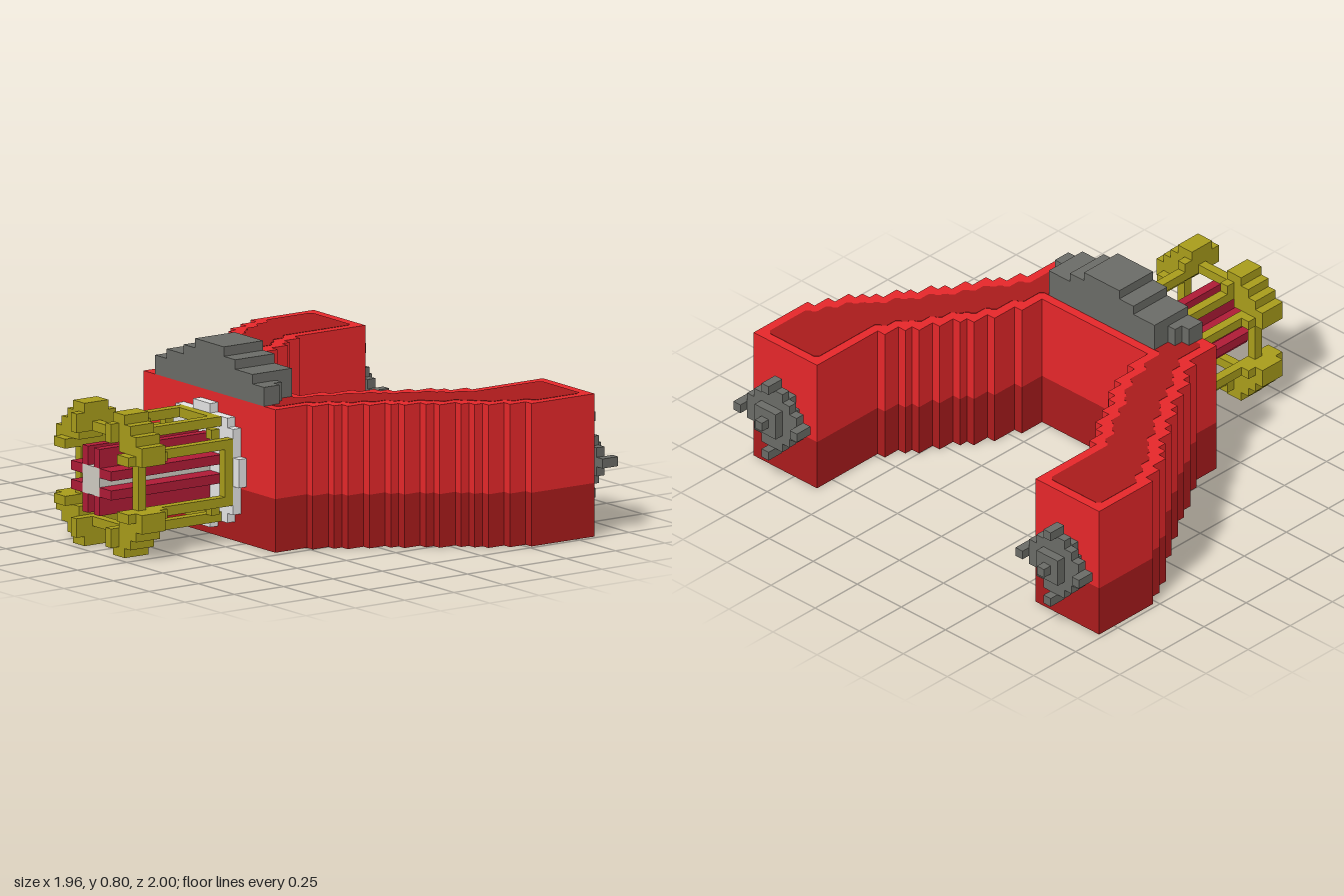
import * as THREE from 'three';
import { mergeGeometries } from 'three/addons/utils/BufferGeometryUtils.js';

const paint = (name, color) => {
  const m = new THREE.MeshStandardMaterial({ color });
  m.name = name;
  return m;
};

// Box geometry from its minimum and maximum corners
const box = (x0, x1, y0, y1, z0, z1) =>
  new THREE.BoxGeometry(x1 - x0, y1 - y0, z1 - z0)
    .translate((x0 + x1) / 2, (y0 + y1) / 2, (z0 + z1) / 2);

const MID = 0.3; // height of the barrel and wheel axes

// Box centred on x = cx and the axis height, by half extents
const block = (hx, hy, z0, z1, cx = 0) =>
  box(cx - hx, cx + hx, MID - hy, MID + hy, z0, z1);

// Stepped sides of one arm: x, and the z where that step ends
const OUTER = [[0.98, -0.52], [0.94, -0.44], [0.9, -0.36], [0.86, -0.32], [0.82, -0.28],
  [0.78, -0.2], [0.74, -0.16], [0.7, -0.08], [0.66, -0.04], [0.62, 0.04], [0.58, 0.12],
  [0.54, 0.16], [0.5, 0.24], [0.46, 0.4]];
const INNER = [[0.62, -0.48], [0.58, -0.4], [0.54, -0.36], [0.5, -0.28], [0.46, -0.2],
  [0.42, -0.16], [0.38, -0.08], [0.34, 0.04], [0.3, 0.16]];

function stairs(steps, zStart, dx, dz) {
  const pts = [];
  let z = zStart;
  for (const [x, end] of steps) {
    pts.push([x + dx, z], [x + dx, end + dz]);
    z = end + dz;
  }
  return pts;
}

// Cut every corner of a closed outline at distance d
function chamfer(pts, d) {
  const toward = ([x, z], [u, w]) => {
    const t = d / Math.hypot(u - x, w - z);
    return [x + (u - x) * t, z + (w - z) * t];
  };
  const n = pts.length;
  return pts.flatMap((p, i) => [toward(p, pts[(i + n - 1) % n]), toward(p, pts[(i + 1) % n])]);
}

// V-shaped outline with both arms, inset from the edge
function outline(inset) {
  const back = -0.84 + inset;
  const half = [
    ...stairs(INNER, back, inset, inset).reverse(),
    ...stairs(OUTER, back, -inset, -inset),
  ];
  return [...half, ...half.map(([x, z]) => [-x, z]).reverse()];
}

function slab(pts, y0, y1) {
  const shape = new THREE.Shape(pts.map(([x, z]) => new THREE.Vector2(x, -z)));
  return new THREE.ExtrudeGeometry(shape, { depth: y1 - y0, bevelEnabled: false })
    .rotateX(-Math.PI / 2).translate(0, y0, 0);
}

export function createModel() {
  const red = paint('red', 0xea282b);
  const darkRed = paint('dark red', 0xaa1b1c);
  const grey = paint('dark grey', 0x6b6c67);
  const gold = paint('old gold', 0xa99d1b);
  const white = paint('light grey', 0xe6e6e6);
  const stone = paint('warm grey', 0xd0ccc3);
  const maroon = paint('maroon', 0xaf1b36);

  const model = new THREE.Group();
  const add = (name, material, parts) => {
    const mesh = new THREE.Mesh(mergeGeometries(parts), material);
    mesh.name = name;
    model.add(mesh);
  };

  // Body
  add('lowerBody', darkRed, [slab(outline(0), 0, 0.225)]);
  add('upperBody', red, [slab(outline(0), 0.225, 0.6)]);
  add('topPanel', darkRed, [slab(chamfer(outline(0.04), 0.015), 0.598, 0.6015)]);

  // Stepped crest on top of the front wall
  add('crest', grey, [
    box(-0.3, 0.3, 0.6, 0.72, 0.2, 0.4),
    box(-0.34, 0.34, 0.6, 0.68, 0.28, 0.4),
    box(-0.38, 0.38, 0.6, 0.68, 0.32, 0.4),
    box(-0.18, 0.18, 0.72, 0.76, 0.2, 0.4),
    box(-0.1, 0.1, 0.76, 0.8, 0.2, 0.4),
  ]);

  // Round mounting plate
  add('mountPlate', white,
    [[0.22, 0.18], [0.18, 0.22], [0.26, 0.06], [0.06, 0.26]]
      .map(([w, h]) => block(w, h, 0.4, 0.44)));

  // Barrel core with eight fins
  add('barrelCore', stone, [block(0.06, 0.06, 0.44, 1)]);
  const fins = [];
  for (const a of [-0.04, 0.04]) {
    for (const b of [-0.1, 0.1]) {
      fins.push(box(a - 0.02, a + 0.02, MID + b - 0.04, MID + b + 0.04, 0.44, 1));
      fins.push(box(b - 0.04, b + 0.04, MID + a - 0.02, MID + a + 0.02, 0.44, 1));
    }
  }
  add('barrelFins', maroon, fins);

  // Cage: two open rings, eight rails and four stepped corner lugs
  const rings = [], rails = [], lugs = [];
  const LUG = [ // u0, u1, v0, v1, z0, z1 in one quadrant
    [0.1, 0.18, 0.26, 0.3, 0.84, 0.96],
    [0.1, 0.22, 0.22, 0.26, 0.84, 0.96],
    [0.1, 0.26, 0.18, 0.22, 0.84, 0.96],
    [0.14, 0.3, 0.14, 0.18, 0.84, 0.96],
    [0.18, 0.3, 0.1, 0.14, 0.84, 0.96],
    [0.1, 0.14, 0.18, 0.26, 0.8, 1],
    [0.18, 0.26, 0.1, 0.14, 0.8, 1],
  ];
  for (const sx of [-1, 1]) {
    for (const sy of [-1, 1]) {
      const quad = (u0, u1, v0, v1, z0, z1) => box(
        Math.min(sx * u0, sx * u1), Math.max(sx * u0, sx * u1),
        MID + Math.min(sy * v0, sy * v1), MID + Math.max(sy * v0, sy * v1), z0, z1);
      rails.push(quad(0.1, 0.14, 0.18, 0.22, 0.44, 1), quad(0.18, 0.22, 0.1, 0.14, 0.44, 1));
      rings.push(quad(0.14, 0.18, 0.14, 0.18, 0.48, 0.52));
      for (const cell of LUG) lugs.push(quad(...cell));
    }
    for (const z of [0.44, 0.88]) {
      const c = sx * 0.2;
      rings.push(box(c - 0.02, c + 0.02, MID - 0.1, MID + 0.1, z, z + 0.04));
      rings.push(box(-0.1, 0.1, MID + c - 0.02, MID + c + 0.02, z, z + 0.04));
    }
  }
  add('cageRings', gold, rings);
  add('cageRails', gold, rails);
  add('cageLugs', gold, lugs);

  // Round wheel with four prongs on the back of each arm
  for (const [side, cx] of [['left', 0.8], ['right', -0.8]]) {
    const parts = [
      block(0.06, 0.1, -0.88, -0.84, cx),
      block(0.1, 0.06, -0.88, -0.86, cx),
      block(0.14, 0.06, -0.92, -0.88, cx),
      block(0.1, 0.1, -0.92, -0.88, cx),
      block(0.06, 0.14, -0.92, -0.88, cx),
      block(0.06, 0.06, -0.96, -0.92, cx),
      block(0.02, 0.02, -1, -0.96, cx),
    ];
    for (const tip of [-0.16, 0.16]) {
      parts.push(block(0.02, 0.02, -0.96, -0.88, cx + tip));
      parts.push(block(0.02, 0.02, -0.96, -0.88, cx).translate(0, tip, 0));
    }
    add(side + 'RearWheel', grey, parts);
  }
  return model;
}
